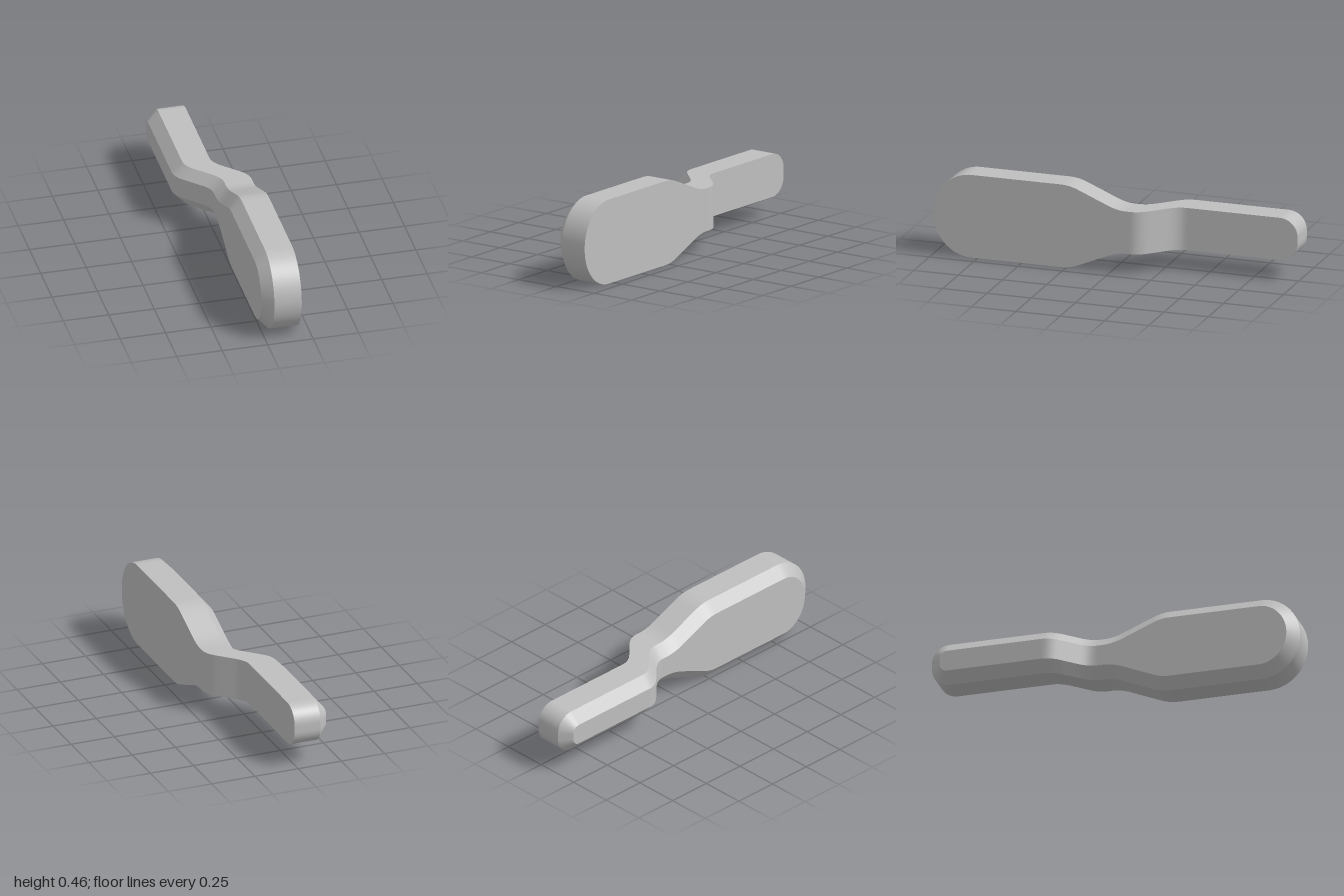
import * as THREE from 'three';

const MID_Y = 0.2315, FRONT_X = 0.187, EDGE_X = 0.037, BACK_X = -0.02, INSET = 0.06;

// Ramp of slope 1 starting at u = 0, with a rounded corner of half width w
const ramp = (u, w) => (u < -w ? 0 : u > w ? u : (u + w) ** 2 / (4 * w));

// Sideways offset of the bend, and half height of the outline along z
const bend = (z) => ramp(-0.327 - z, 0.045) - ramp(-0.16 - z, 0.045);
const halfHeight = (z) => MID_Y - 0.42 * (ramp(0.23 - z, 0.05) - ramp(-0.04 - z, 0.05));

// Upper half of the outline as (z, height), from the round nose to the tail
function upperOutline() {
  const pts = [];
  for (let i = 0; i <= 20; i++) {
    const a = (i / 20) * Math.PI / 2;
    pts.push(new THREE.Vector2(0.785 + 0.215 * Math.cos(a), MID_Y * Math.sin(a)));
  }
  for (let i = 0; i <= 46; i++) {
    const z = 0.3 - i * 0.015;
    pts.push(new THREE.Vector2(z, halfHeight(z)));
  }
  for (let i = 0; i <= 12; i++) {
    const a = (i / 12) * Math.PI / 2;
    pts.push(new THREE.Vector2(-0.9 - 0.1 * Math.sin(a), 0.018 + 0.1 * Math.cos(a)));
  }
  pts.push(new THREE.Vector2(-1, 0));
  return pts;
}

// Closed loop moved inwards along its normals
function insetLoop(loop, d) {
  const n = loop.length;
  return loop.map((p, i) => {
    const t1 = p.clone().sub(loop[(i + n - 1) % n]).normalize();
    const t2 = loop[(i + 1) % n].clone().sub(p).normalize();
    const t = t1.add(t2).normalize();
    return new THREE.Vector2(p.x + t.y * -d, p.y + t.x * d);
  });
}

// Smooth strip of quads between two rows of points
function strip(rowA, rowB, closed) {
  const n = rowA.length, index = [];
  for (let i = 0; i < (closed ? n : n - 1); i++) {
    const j = (i + 1) % n;
    index.push(i, j, n + j, i, n + j, n + i);
  }
  const geo = new THREE.BufferGeometry().setFromPoints([...rowA, ...rowB]);
  geo.setIndex(index);
  geo.computeVertexNormals();
  return geo;
}

export function createModel() {
  const group = new THREE.Group();
  group.name = 'bentLever';
  const grey = new THREE.MeshStandardMaterial({ color: 0xbfbfbf });
  grey.name = 'grey';

  const half = upperOutline();
  const lower = half.slice(1, -1).reverse().map((p) => new THREE.Vector2(p.x, -p.y));
  const loop = [...half, ...lower];
  const small = insetLoop(loop, INSET);

  // Bent position of an outline loop at a given depth
  const place = (pts, x) => pts.map((p) => new THREE.Vector3(x + bend(p.x), MID_Y + p.y, p.x));
  const front = place(loop, FRONT_X), edge = place(loop, EDGE_X), back = place(small, BACK_X);

  const add = (name, geo) => {
    const mesh = new THREE.Mesh(geo, grey);
    mesh.name = name;
    group.add(mesh);
  };

  // Rows of matching upper and lower points for the broad faces
  const upperRow = (row) => row.slice(0, half.length);
  const lowerRow = (row) => half.map((_, i) => row[(row.length - i) % row.length]);

  add('rim', strip(front, edge, true));
  add('chamfer', strip(edge, back, true));
  add('flatFace', strip(lowerRow(front), upperRow(front), false));
  add('chamferedFace', strip(upperRow(back), lowerRow(back), false));
  return group;
}
